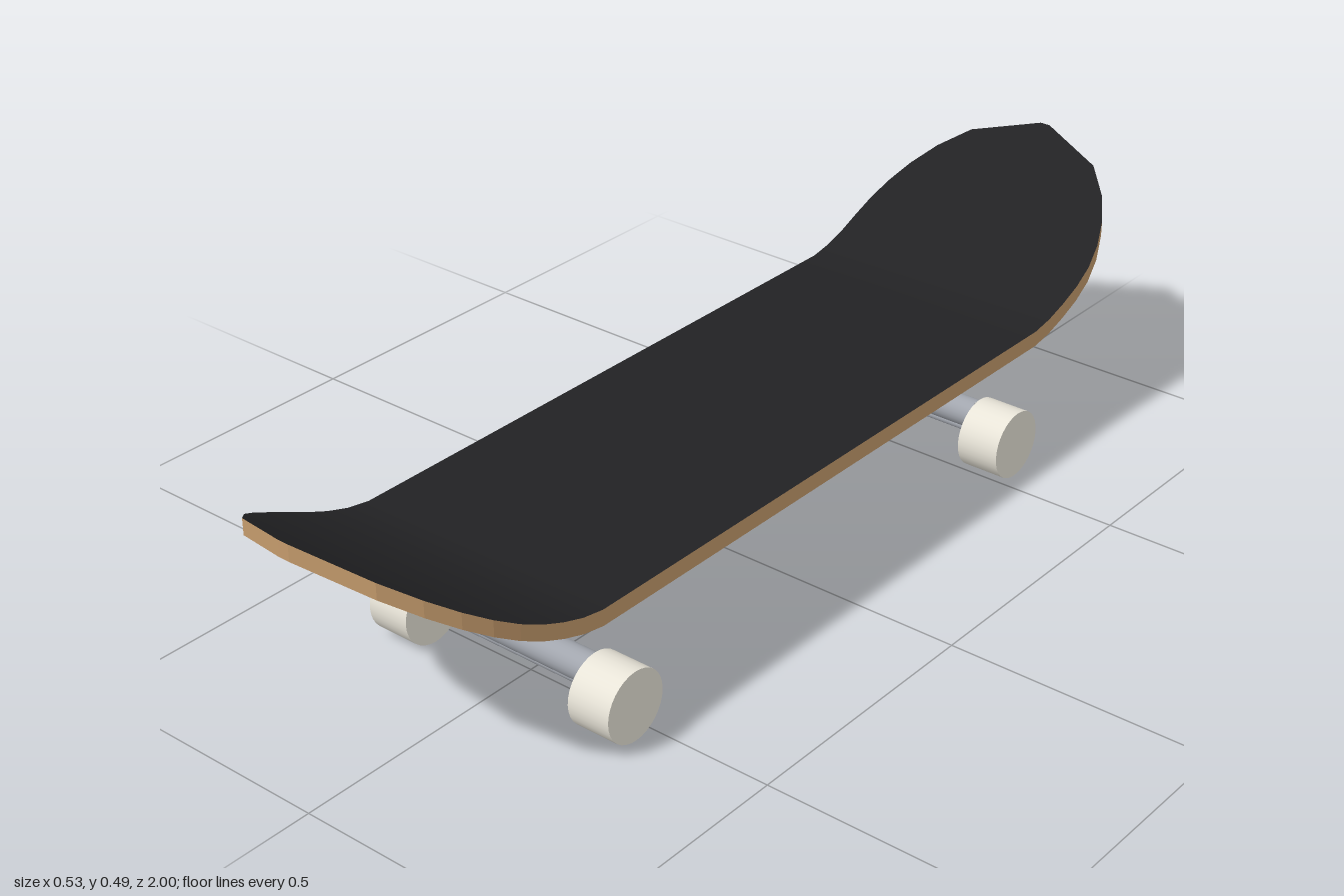
import * as THREE from 'three';

const material = (color) => new THREE.MeshStandardMaterial({ color });

// Deck outline and curvature
const ROWS = 45, HALF_WIDTH = 0.256, BOTTOM = 0.245, THICKNESS = 0.03;
const NOSE_START = 0.733, KICK_START = 0.6, KICK_RISE = 0.213;

function halfWidth(z) {
  const t = Math.max(0, (Math.abs(z) - NOSE_START) / (1 - NOSE_START));
  return Math.max(0.01, HALF_WIDTH * Math.sqrt(Math.max(0, 1 - t * t)));
}

function rise(z) {
  const t = Math.max(0, (Math.abs(z) - KICK_START) / (1 - KICK_START));
  return KICK_RISE * Math.pow(t, 1.5);
}

// One edge line of the deck, running from back to front
function edge(side, height) {
  return Array.from({ length: ROWS + 1 }, (_, i) => {
    const z = -1 + (2 * i) / ROWS;
    return [side * halfWidth(z), height + rise(z), z];
  });
}

// Surface spanned between two lines of equal length
function strip(a, b, flat) {
  const index = [];
  for (let i = 0; i < a.length - 1; i++) {
    const p = 2 * i;
    index.push(p, p + 2, p + 1, p + 1, p + 2, p + 3);
  }
  let geometry = new THREE.BufferGeometry();
  const positions = a.flatMap((point, i) => [...point, ...b[i]]);
  geometry.setAttribute('position', new THREE.Float32BufferAttribute(positions, 3));
  geometry.setIndex(index);
  if (flat) geometry = geometry.toNonIndexed();
  geometry.computeVertexNormals();
  return geometry;
}

function addMesh(parent, name, geometry, mat, x = 0, y = 0, z = 0) {
  const mesh = new THREE.Mesh(geometry, mat);
  mesh.name = name;
  mesh.position.set(x, y, z);
  parent.add(mesh);
  return mesh;
}

// Cylinder lying across the board
const crossBar = (radius, length, sides) =>
  new THREE.CylinderGeometry(radius, radius, length, sides).rotateZ(Math.PI / 2);

function createDeck() {
  const deck = new THREE.Group();
  deck.name = 'deck';
  const top = BOTTOM + THICKNESS;
  const loop = (height) => {
    const right = edge(1, height), left = edge(-1, height).reverse();
    return [...right, ...left, right[0]];
  };
  addMesh(deck, 'gripSurface', strip(edge(-1, top), edge(1, top)), material(0x222224));
  addMesh(deck, 'underside', strip(edge(1, BOTTOM), edge(-1, BOTTOM)), material(0x1f4675));
  addMesh(deck, 'woodEdge', strip(loop(top), loop(BOTTOM), true), material(0xc49a6c));
  return deck;
}

function createTruck(name, z) {
  const truck = new THREE.Group();
  truck.name = name;
  truck.position.z = z;
  const metal = material(0xa2a6ae), rubber = material(0xe8e4d8);
  addMesh(truck, 'basePlate', new THREE.BoxGeometry(0.138, 0.03, 0.185), metal, 0, 0.23);
  addMesh(truck, 'post', new THREE.BoxGeometry(0.074, 0.095, 0.078), metal, 0, 0.168);
  addMesh(truck, 'hanger', crossBar(0.028, 0.35, 24), metal, 0, 0.098);
  addMesh(truck, 'axle', crossBar(0.0095, 0.4, 16), metal, 0, 0.067);
  for (const side of [-1, 1]) {
    addMesh(truck, side > 0 ? 'leftWheel' : 'rightWheel',
      crossBar(0.066, 0.085, 32), rubber, side * 0.223, 0.066);
  }
  return truck;
}

export function createModel() {
  const model = new THREE.Group();
  model.name = 'skateboard';
  model.add(createDeck(), createTruck('frontTruck', 0.54), createTruck('backTruck', -0.54));
  return model;
}
